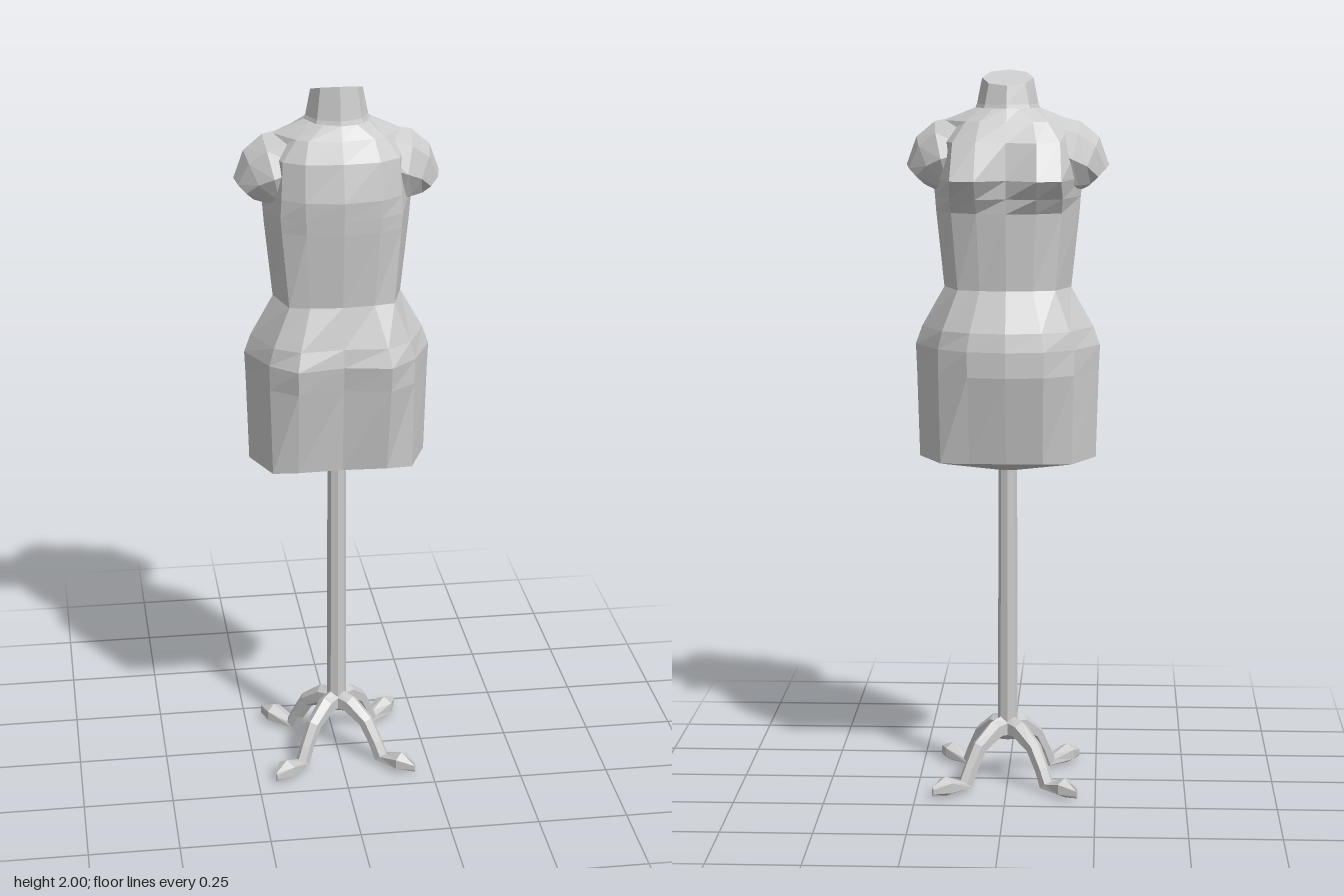
import * as THREE from 'three';

const material = new THREE.MeshStandardMaterial({ color: 0xcccccc, flatShading: true });

// Skins a list of closed rings (arrays of [x, y, z]) and caps both ends.
function loft(name, rings) {
  const pos = [];
  const tri = (a, b, c) => pos.push(...a, ...b, ...c);
  const n = rings[0].length;
  const centre = (ring) => [0, 1, 2].map((k) => ring.reduce((s, p) => s + p[k], 0) / n);
  const first = rings[0], last = rings[rings.length - 1];
  const c0 = centre(first), c1 = centre(last);
  for (let j = 0; j < n; j++) {
    const k = (j + 1) % n;
    for (let i = 0; i < rings.length - 1; i++) {
      const a = rings[i], b = rings[i + 1];
      tri(a[j], b[j], a[k]);
      tri(a[k], b[j], b[k]);
    }
    tri(c0, first[j], first[k]);
    tri(c1, last[k], last[j]);
  }
  const geometry = new THREE.BufferGeometry();
  geometry.setAttribute('position', new THREE.Float32BufferAttribute(pos, 3));
  geometry.computeVertexNormals();
  const mesh = new THREE.Mesh(geometry, material);
  mesh.name = name;
  return mesh;
}

// Twelve-sided body section, mirrored left to right. The front and back
// peaks sit at fixed fractions of the half width.
function bodyRing([y, side, corner, frontMid, frontPeak, frontCorner, backCorner, backPeak, backMid]) {
  const half = [
    [0, frontMid], [side * 0.41, frontPeak], [corner, frontCorner], [side, 0],
    [corner * 1.07, backCorner], [side * 0.5, backPeak], [0, backMid],
  ];
  const left = half.map(([x, z]) => [x, y, z]);
  const right = left.slice(1, -1).reverse().map(([x, h, z]) => [-x, h, z]);
  return [...left, ...right];
}

// Oval section of a limb running along +x, from its top and bottom points and half width.
function limbRing([tx, ty, bx, by, w], sides) {
  return Array.from({ length: sides }, (_, i) => {
    const a = (i / sides) * Math.PI * 2;
    const t = (1 + Math.cos(a)) / 2;
    return [bx + (tx - bx) * t, by + (ty - by) * t, -w * Math.sin(a)];
  });
}

// Octagonal neck section whose height changes with z by the given slope.
function neckRing(rx, rz, y, slope) {
  return Array.from({ length: 8 }, (_, i) => {
    const a = (i / 8) * Math.PI * 2;
    const z = -rz * Math.cos(a);
    return [rx * Math.sin(a), y + slope * z, z];
  });
}

export function createModel() {
  const model = new THREE.Group();
  model.name = 'dressForm';

  // Torso: hips, waist, bust and shoulder slope (the chest faces -z)
  const torso = [
    [0.895, 0.01, 0.008, -0.01, -0.009, -0.006, 0.006, 0.009, 0.01],
    [0.935, 0.245, 0.18, -0.13, -0.13, -0.125, 0.125, 0.13, 0.125],
    [1.18, 0.252, 0.185, -0.19, -0.175, -0.125, 0.12, 0.175, 0.15],
    [1.25, 0.255, 0.186, -0.19, -0.175, -0.12, 0.12, 0.185, 0.162],
    [1.3, 0.237, 0.174, -0.18, -0.165, -0.12, 0.12, 0.165, 0.155],
    [1.41, 0.175, 0.133, -0.13, -0.118, -0.1, 0.11, 0.122, 0.13],
    [1.62, 0.197, 0.15, -0.143, -0.135, -0.1, 0.105, 0.14, 0.155],
    [1.66, 0.2, 0.153, -0.145, -0.16, -0.13, 0.105, 0.143, 0.158],
    [1.71, 0.205, 0.15, -0.15, -0.195, -0.18, 0.105, 0.145, 0.162],
    [1.81, 0.2, 0.145, -0.135, -0.138, -0.115, 0.095, 0.13, 0.14],
    [1.865, 0.175, 0.11, -0.108, -0.105, -0.085, 0.08, 0.1, 0.113],
    [1.9, 0.088, 0.073, -0.085, -0.08, -0.047, 0.045, 0.078, 0.09],
  ];
  model.add(loft('torso', torso.map(bodyRing)));

  // Neck with a top that slopes down to the chest
  model.add(loft('neck', [
    neckRing(0.095, 0.088, 1.885, 0),
    neckRing(0.084, 0.08, 1.91, 0),
    neckRing(0.07, 0.067, 1.98, 0.3),
  ]));

  // Shoulder caps ending in slanted arm stumps
  const arm = [
    [0.08, 1.89, 0.1, 1.69, 0.08],
    [0.2, 1.862, 0.155, 1.667, 0.1],
    [0.25, 1.82, 0.185, 1.67, 0.08],
    [0.277, 1.745, 0.218, 1.685, 0.052],
  ];
  for (const [name, turn] of [['leftShoulder', 0], ['rightShoulder', Math.PI]]) {
    const shoulder = loft(name, arm.map((s) => limbRing(s, 8)));
    shoulder.rotation.y = turn;
    model.add(shoulder);
  }

  // Stand pole
  const pole = new THREE.Mesh(new THREE.CylinderGeometry(0.026, 0.028, 0.75, 8), material);
  pole.name = 'pole';
  pole.position.y = 0.535;
  model.add(pole);

  // Four curved legs with pointed feet, set on the diagonals
  const leg = [
    [0, 0.195, 0, 0.115, 0.026],
    [0.06, 0.18, 0.035, 0.125, 0.025],
    [0.125, 0.13, 0.09, 0.1, 0.022],
    [0.16, 0.07, 0.122, 0.05, 0.02],
    [0.18, 0.032, 0.142, 0.004, 0.02],
    [0.235, 0.056, 0.235, 0, 0.032],
    [0.283, 0.035, 0.283, 0.008, 0.003],
  ];
  for (let i = 0; i < 4; i++) {
    const mesh = loft('standLeg', leg.map((s) => limbRing(s, 6)));
    mesh.rotation.y = Math.PI / 4 + (i * Math.PI) / 2;
    model.add(mesh);
  }
  return model;
}
